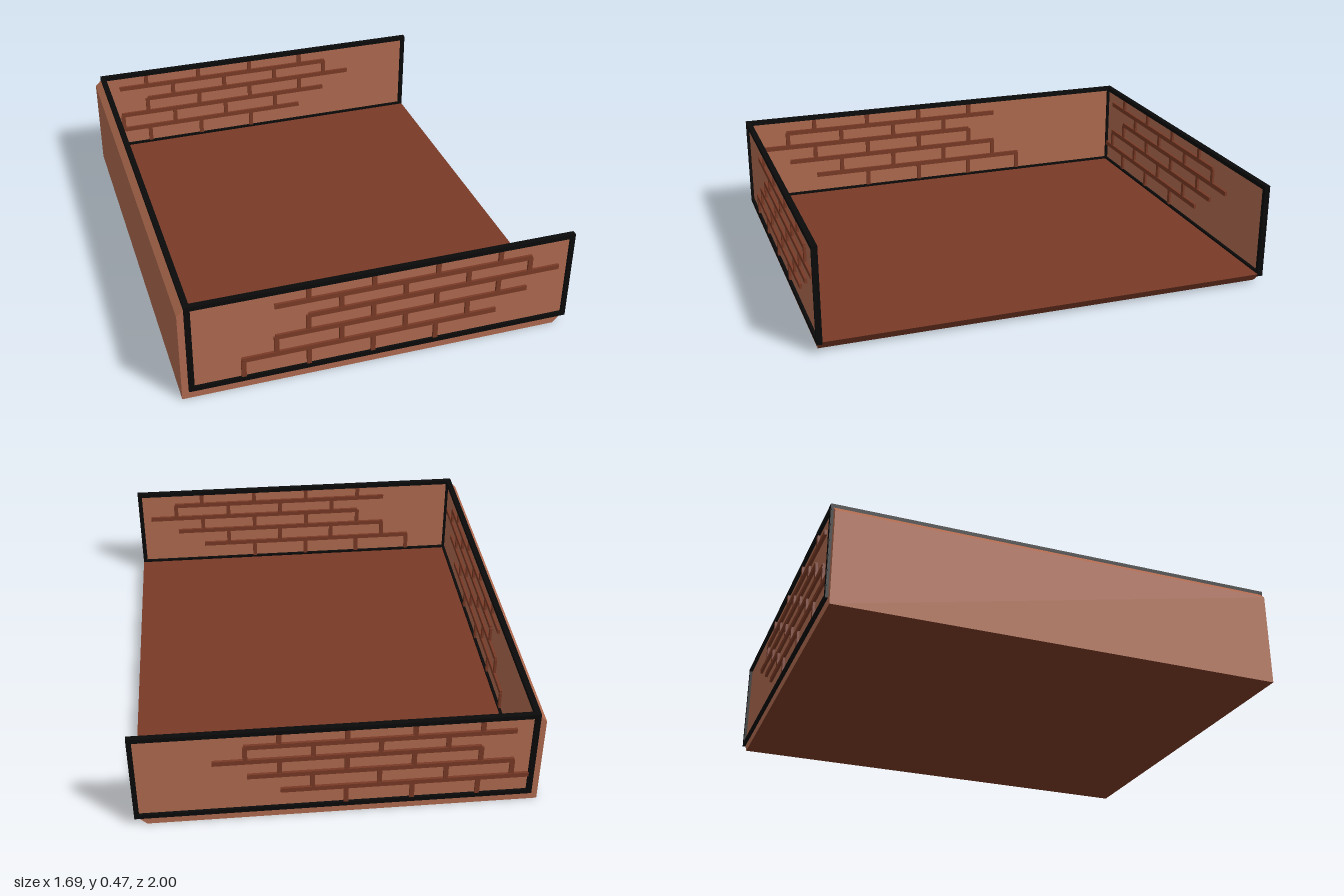
import * as THREE from 'three';

const D = 0.988; // half depth, to the middle of the front and back panels
const L = -0.81, R = 0.83, BOTTOM = 0.05, TOP = 0.455;

const brick = new THREE.MeshStandardMaterial({ color: 0xb06b4f });
const brickThin = new THREE.MeshStandardMaterial({ color: 0xb06b4f, side: THREE.DoubleSide });
const dark = new THREE.MeshStandardMaterial({ color: 0x7a3a26 });
const black = new THREE.MeshStandardMaterial({ color: 0x0a0a0a });

// mortar joints: height and extent of each long line
const courses = [
  [0.385, -0.46, 0.65], [0.31, -0.32, 0.78], [0.23, -0.46, 0.64], [0.145, -0.6, 0.505],
];
// upright joints: bottom, top and first position; four per course
const uprights = [
  [0.385, 0.455, -0.32], [0.31, 0.385, -0.182], [0.23, 0.31, -0.32],
  [0.145, 0.23, -0.455], [0.05, 0.145, -0.593],
];
const STEP = 0.276;

function prism(name, points, materials) {
  const shape = new THREE.Shape(points.map(([x, y]) => new THREE.Vector2(x, y)));
  const geometry = new THREE.ExtrudeGeometry(shape, { depth: 2 * D, bevelEnabled: false });
  geometry.translate(0, 0, -D);
  const mesh = new THREE.Mesh(geometry, materials);
  mesh.name = name;
  return mesh;
}

// bar lying in the xy plane between two corners
function bar(name, x0, x1, y0, y1, depth, material) {
  const mesh = new THREE.Mesh(new THREE.BoxGeometry(x1 - x0, y1 - y0, depth), material);
  mesh.position.set((x0 + x1) / 2, (y0 + y1) / 2, 0);
  mesh.name = name;
  return mesh;
}

// mortar pattern, shifted sideways and cut at a left limit
function mortar(shift, limit) {
  const group = new THREE.Group();
  group.name = 'mortarJoints';
  for (const [y, a, b] of courses) {
    group.add(bar('courseJoint', Math.max(a + shift, limit), b + shift, y - 0.011, y + 0.011, 0.022, dark));
  }
  for (const [y0, y1, first] of uprights) {
    for (let i = 0; i < 4; i++) {
      const x = first + shift + i * STEP;
      if (x > limit) group.add(bar('uprightJoint', x - 0.01, x + 0.01, y0, y1, 0.02, dark));
    }
  }
  return group;
}

// black outline around a wall
function outline(x0, x1) {
  const group = new THREE.Group();
  const w = 0.01;
  group.name = 'outline';
  for (const y of [BOTTOM, TOP]) group.add(bar('outlineRail', x0 - w, x1 + w, y - w, y + w, 0.024, black));
  for (const x of [x0, x1]) group.add(bar('outlinePost', x - w, x + w, BOTTOM, TOP, 0.024, black));
  return group;
}

export function createModel() {
  const model = new THREE.Group();

  // floor slab with a sloped open edge, mitred into the side wall
  model.add(prism('floor', [[-0.85, 0], [0.79, 0], [0.84, BOTTOM], [L, BOTTOM]], [brick, dark]));
  model.add(prism('sideWall', [[-0.85, 0], [L, BOTTOM], [L, 0.46], [-0.85, 0.42]], brick));

  // thin front and back walls
  for (const [name, z, shift] of [['frontWall', D, 0], ['backWall', -D, -0.27]]) {
    const wall = new THREE.Group();
    wall.name = name;
    const panel = new THREE.Mesh(new THREE.PlaneGeometry(R - L, TOP - BOTTOM), brickThin);
    panel.name = 'panel';
    panel.position.set((L + R) / 2, (TOP + BOTTOM) / 2, 0);
    wall.add(panel, outline(L, R), mortar(shift, L));
    wall.position.z = z;
    model.add(wall);
  }

  // joints and outline on the inner face of the side wall
  const side = new THREE.Group();
  side.name = 'sideWallDetail';
  side.add(outline(-D, D), mortar(0.15, -D));
  side.rotation.y = -Math.PI / 2;
  side.position.x = L;
  model.add(side);

  return model;
}
